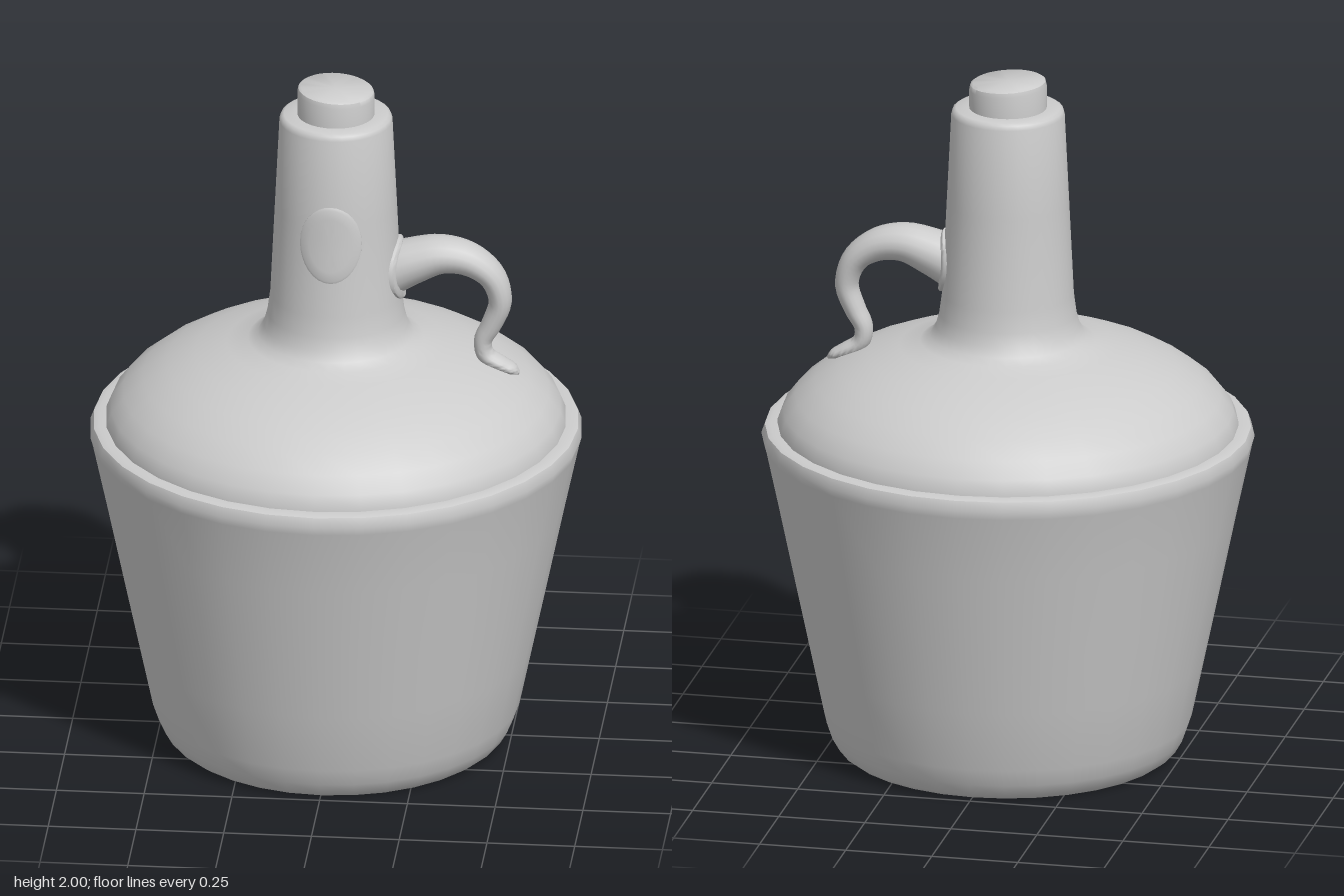
import * as THREE from 'three';
import { toCreasedNormals } from 'three/addons/utils/BufferGeometryUtils.js';

const material = new THREE.MeshStandardMaterial({ color: 0xcccccc });

function addMesh(group, name, geometry, crease = 0.7) {
  const mesh = new THREE.Mesh(toCreasedNormals(geometry, crease), material);
  mesh.name = name;
  group.add(mesh);
  return mesh;
}

const lathe = (profile, segments = 32) =>
  new THREE.LatheGeometry(profile.map(([r, y]) => new THREE.Vector2(r, y)), segments);

// Neck radius at a given height
const neckRadius = (y) => THREE.MathUtils.mapLinear(y, 1.36, 1.9, 0.187, 0.161);

// Thin oval plate wrapped around the front of the neck
function ovalPlate(rx, ry, y0, lift) {
  const g = lathe([[1, -1], [1, 0.6], [0.94, 1], [0.7, 1], [0.4, 1], [0, 1]]);
  g.rotateX(Math.PI / 2);
  const p = g.attributes.position;
  for (let i = 0; i < p.count; i++) {
    const x = p.getX(i) * rx, y = y0 + p.getY(i) * ry;
    const z = Math.sqrt(neckRadius(y) ** 2 - x * x) + p.getZ(i) * lift;
    p.setXYZ(i, x, y, z);
  }
  return g;
}

// Sweep of ellipses in the xy plane; each station is [x, y, half thickness, half width]
function taperedSweep(stations, steps, sides) {
  const path = new THREE.CatmullRomCurve3(stations.map(([x, y]) => new THREE.Vector3(x, y, 0)));
  const size = new THREE.CatmullRomCurve3(stations.map(([, , a, b]) => new THREE.Vector3(a, b, 0)));
  const positions = [], index = [];
  for (let i = 0; i <= steps; i++) {
    const t = i / steps, c = path.getPoint(t), d = path.getTangent(t), s = size.getPoint(t);
    for (let j = 0; j < sides; j++) {
      const angle = (j / sides) * Math.PI * 2;
      const n = Math.cos(angle) * s.x;
      positions.push(c.x - d.y * n, c.y + d.x * n, Math.sin(angle) * s.y);
      if (i === steps) continue;
      const a = i * sides + j, b = i * sides + (j + 1) % sides;
      index.push(a, b, a + sides, b, b + sides, a + sides);
    }
  }
  // Close the far end
  const last = steps * sides;
  for (let j = 1; j < sides - 1; j++) index.push(last, last + j, last + j + 1);
  const g = new THREE.BufferGeometry();
  g.setAttribute('position', new THREE.Float32BufferAttribute(positions, 3));
  g.setIndex(index);
  return g;
}

export function createModel() {
  const model = new THREE.Group();
  model.name = 'jug';

  // Tapered lower body with a rounded rim
  addMesh(model, 'body', lathe([
    [0, 0], [0.465, 0], [0.485, 0.015], [0.505, 0.05], [0.522, 0.1], [0.56, 0.28],
    [0.6, 0.47], [0.65, 0.71], [0.693, 0.91], [0.7, 0.935], [0.69, 0.962], [0.675, 0.967], [0.64, 0.965],
  ]));

  // Domed shoulder flowing into the neck
  addMesh(model, 'shoulderAndNeck', lathe([
    [0.655, 0.95], [0.654, 0.975], [0.64, 1.01], [0.605, 1.055], [0.55, 1.1], [0.48, 1.142],
    [0.4, 1.175], [0.31, 1.203], [0.25, 1.218], [0.222, 1.235], [0.205, 1.262], [0.195, 1.3],
    [0.187, 1.36], [0.174, 1.63], [0.161, 1.895], [0.157, 1.908], [0.148, 1.914], [0.1, 1.914],
  ]));

  // Stopper with a slightly sloping top
  const stopper = lathe([[0.11, 1.89], [0.11, 1.975], [0.107, 1.988], [0.1, 1.993], [0, 1.993]]);
  const p = stopper.attributes.position;
  for (let i = 0; i < p.count; i++) {
    if (p.getY(i) > 1.95) p.setY(i, p.getY(i) - p.getX(i) * 0.06);
  }
  addMesh(model, 'stopper', stopper);

  // Oval seal on the front of the neck
  addMesh(model, 'ovalSeal', ovalPlate(0.088, 0.115, 1.58, 0.007));

  // Curled handle on the model's left, with a collar where it meets the neck
  const handle = new THREE.Group();
  handle.name = 'handle';
  model.add(handle);
  addMesh(handle, 'handleCollar', ovalPlate(0.09, 0.092, 1.445, 0.012)).rotation.y = Math.PI / 2;
  addMesh(handle, 'handleArm', taperedSweep([
    [0.15, 1.435, 0.075, 0.078], [0.22, 1.465, 0.066, 0.075], [0.3, 1.488, 0.055, 0.068],
    [0.38, 1.475, 0.047, 0.06], [0.445, 1.425, 0.038, 0.053], [0.468, 1.35, 0.033, 0.046],
    [0.445, 1.28, 0.03, 0.04], [0.419, 1.225, 0.026, 0.036], [0.427, 1.182, 0.025, 0.035],
    [0.47, 1.156, 0.02, 0.035], [0.505, 1.139, 0.015, 0.028], [0.522, 1.128, 0.005, 0.01],
  ], 48, 16), 1);

  return model;
}
